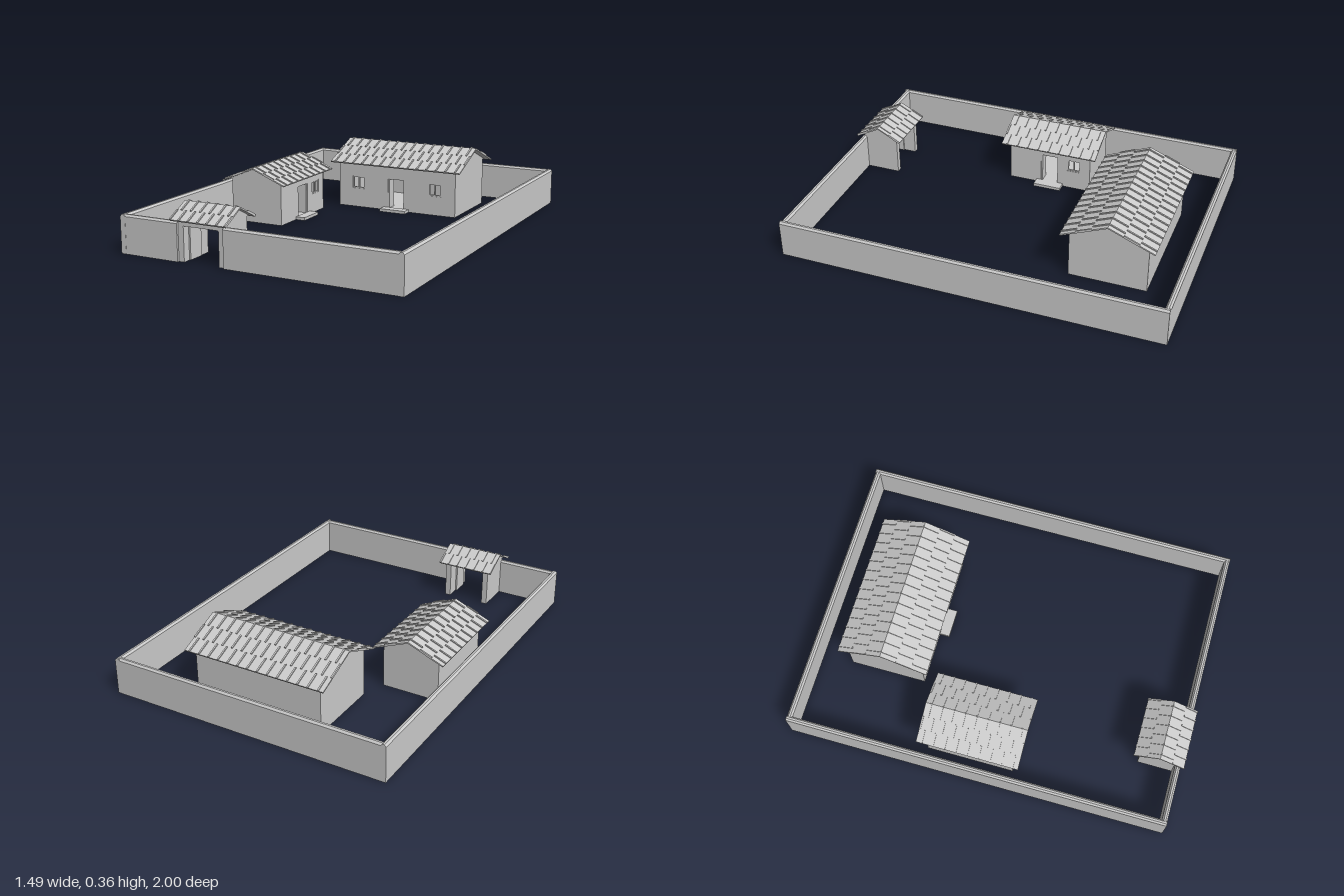
import * as THREE from 'three';
import { mergeGeometries } from 'three/addons/utils/BufferGeometryUtils.js';

export function createModel() {
  const model = new THREE.Group();
  model.name = 'walledCourtyard';
  const grey = new THREE.MeshStandardMaterial({ color: 0xcccccc });
  grey.name = 'plainGrey';

  const add = (parent, name, geometry) => {
    const mesh = new THREE.Mesh(geometry, grey);
    mesh.name = name;
    parent.add(mesh);
    return mesh;
  };
  // Box geometry given by its limits on each axis
  const span = (x0, x1, y0, y1, z0, z1) =>
    new THREE.BoxGeometry(x1 - x0, y1 - y0, z1 - z0)
      .translate((x0 + x1) / 2, (y0 + y1) / 2, (z0 + z1) / 2);
  const polygon = (pts) => new THREE.Shape(pts.map(([x, y]) => new THREE.Vector2(x, y)));
  const extrude = (shape, depth) =>
    new THREE.ExtrudeGeometry(shape, { depth, bevelEnabled: false });
  const rectHole = (shape, x0, x1, y0, y1) => {
    const p = new THREE.Path();
    p.moveTo(x0, y0); p.lineTo(x0, y1); p.lineTo(x1, y1); p.lineTo(x1, y0); p.closePath();
    shape.holes.push(p);
  };

  // Gabled roof: solid core, two overhanging slabs and staggered tile ribs
  function addRoof(parent, { length, coreLength, depth, eave, ridge, rows, columns }) {
    const roof = new THREE.Group();
    roof.name = 'roof';
    parent.add(roof);
    const half = depth / 2, top = ridge - 0.005, rise = top - eave;
    const slope = Math.hypot(half, rise), angle = Math.atan2(rise, half);
    const core = extrude(polygon([[-half + 0.006, eave], [half - 0.006, eave], [0, top - 0.003]]), coreLength);
    core.translate(0, 0, -coreLength / 2).rotateY(Math.PI / 2);
    add(roof, 'roofGable', core);

    const pitch = length / columns, rowLength = slope / rows, ribs = [];
    for (let r = 0; r < rows; r++) {
      for (let c = 0; c <= columns; c++) {
        const x = -length / 2 + (c + (r % 2 ? 0 : 0.5)) * pitch;
        if (x > length / 2 + 0.001) continue;
        const cx = THREE.MathUtils.clamp(x, -length / 2 + 0.004, length / 2 - 0.004);
        ribs.push(span(cx - 0.004, cx + 0.004, 0, 0.005, r * rowLength, (r + 1) * rowLength));
      }
    }
    const ribGeometry = mergeGeometries(ribs);
    for (const turn of [0, Math.PI]) {
      const side = new THREE.Group();
      side.name = turn ? 'backSlope' : 'frontSlope';
      side.rotation.y = turn;
      const plane = new THREE.Group();
      plane.position.y = top;
      plane.rotation.x = angle;
      add(plane, 'roofSlab', span(-length / 2, length / 2, -0.007, 0, 0, slope));
      add(plane, 'tileRibs', ribGeometry);
      side.add(plane);
      roof.add(side);
    }
  }

  // Hollow house with a doorway, framed windows, floor and front step
  function addHouse(name, { x, z, turn, width, depth, windows, roof }) {
    const house = new THREE.Group();
    house.name = name;
    house.position.set(x, 0, z);
    house.rotation.y = turn;
    model.add(house);
    const w = width / 2, d = depth / 2, t = 0.02, h = roof.eave + 0.002, door = 0.05;
    const doorTop = 0.175;

    const front = polygon([[-w, 0], [-door, 0], [-door, doorTop], [door, doorTop],
      [door, 0], [w, 0], [w, h], [-w, h]]);
    windows.forEach((c) => rectHole(front, c - 0.037, c + 0.037, 0.105, 0.175));
    add(house, 'frontWall', extrude(front, t).translate(0, 0, d - t));
    add(house, 'backWall', span(-w, w, 0, h, -d, -d + t));
    for (const s of [-1, 1]) {
      const c = s * (w - t / 2);
      add(house, 'sideWall', span(c - t / 2, c + t / 2, 0, h, -d + t, d - t));
    }
    add(house, 'floor', span(-w + t, w - t, 0, 0.012, -d + t, d - t));
    add(house, 'threshold', span(-door, door, 0, 0.012, d - t, d));
    add(house, 'frontStep', span(-0.075, 0.075, 0, 0.016, d, d + 0.052));
    for (const s of [-1, 1]) {
      const c = s * (door - 0.004);
      add(house, 'doorLeaf', span(c - 0.004, c + 0.004, 0.012, doorTop, d - t - 0.04, d - 0.004));
    }

    const frame = polygon([[-0.037, 0.105], [0.037, 0.105], [0.037, 0.175], [-0.037, 0.175]]);
    rectHole(frame, -0.03, -0.003, 0.112, 0.168);
    rectHole(frame, 0.003, 0.03, 0.112, 0.168);
    windows.forEach((c) => add(house, 'windowFrame', extrude(frame, 0.01).translate(c, 0, d - 0.012)));
    addRoof(house, roof);
  }

  addHouse('mainHouse', {
    x: 0.048, z: -0.612, turn: 0, width: 0.7, depth: 0.4, windows: [-0.23, 0.23],
    roof: { length: 0.775, coreLength: 0.7, depth: 0.476, eave: 0.253, ridge: 0.356, rows: 3, columns: 14 },
  });
  addHouse('sideHouse', {
    x: -0.492, z: -0.06, turn: Math.PI / 2, width: 0.455, depth: 0.3, windows: [0.137],
    roof: { length: 0.53, coreLength: 0.455, depth: 0.378, eave: 0.224, ridge: 0.306, rows: 3, columns: 9 },
  });

  // Gatehouse
  const gate = new THREE.Group();
  gate.name = 'gatehouse';
  gate.position.set(-0.292, 0, 0.87);
  model.add(gate);
  for (const s of [-1, 1]) {
    const c = s * 0.112, l = s * 0.092;
    add(gate, 'gateWall', span(c - 0.015, c + 0.015, 0, 0.206, -0.097, 0.1));
    add(gate, 'gateLeaf', span(l - 0.004, l + 0.004, 0.002, 0.173, -0.03, 0.06));
  }
  add(gate, 'gateLintel', span(-0.097, 0.097, 0.174, 0.206, 0.06, 0.1));
  addRoof(gate, { length: 0.31, coreLength: 0.255, depth: 0.256, eave: 0.205, ridge: 0.277, rows: 2, columns: 6 });

  // Boundary wall with a chamfered top, in runs along x or z
  const profile = polygon([[-0.014, 0], [0.014, 0], [0.014, 0.185], [0.005, 0.195], [-0.005, 0.195], [-0.014, 0.185]]);
  const runX = (name, x0, x1, z) =>
    add(model, name, extrude(profile, x1 - x0).rotateY(Math.PI / 2).translate(x0, 0, z));
  const runZ = (name, x, z0, z1) => add(model, name, extrude(profile, z1 - z0).translate(x, 0, z0));
  runZ('leftBoundaryWall', 0.731, -1, 0.982);
  runZ('rightBoundaryWall', -0.731, -1, 0.982);
  runX('backBoundaryWall', -0.725, 0.725, -0.986);
  runX('frontBoundaryWallRight', -0.725, -0.419, 0.967);
  runX('frontBoundaryWallLeft', -0.165, 0.725, 0.967);

  return model;
}
